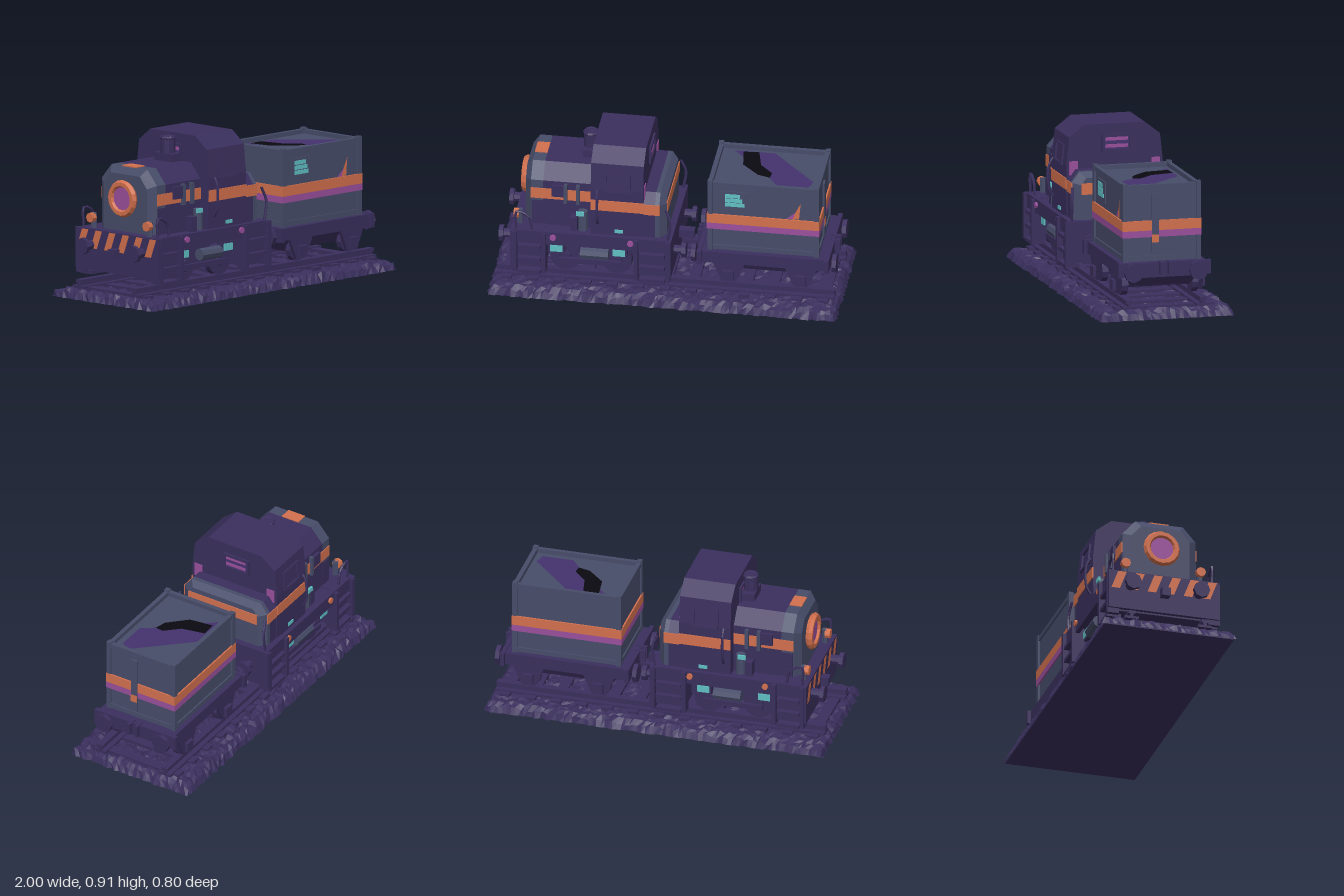
import * as THREE from 'three';

const mat = (name, color, side = THREE.FrontSide) => {
  const m = new THREE.MeshStandardMaterial({ color, side, flatShading: true });
  m.name = name;
  return m;
};

export function createModel() {
  const model = new THREE.Group();
  const dark = mat('dark violet paint', 0x3a2f5d);
  const slate = mat('slate paint', 0x474c69);
  const orange = mat('orange stripe', 0xd2704e);
  const magenta = mat('magenta stripe', 0x9a4f9c);
  const cyan = mat('cyan detail', 0x5fc0c4);
  const black = mat('black stain', 0x0b0a10);
  const violet = mat('violet stain', 0x44326e);

  let parent = model;
  const section = (name) => {
    parent = new THREE.Group();
    parent.name = name;
    model.add(parent);
  };
  const add = (name, geo, m, x = 0, y = 0, z = 0) => {
    const mesh = new THREE.Mesh(geo, m);
    mesh.name = name;
    mesh.position.set(x, y, z);
    parent.add(mesh);
    return mesh;
  };
  // box given by its limits
  const box = (name, m, x0, x1, y0, y1, z0, z1) =>
    add(name, new THREE.BoxGeometry(x1 - x0, y1 - y0, z1 - z0), m, (x0 + x1) / 2, (y0 + y1) / 2, (z0 + z1) / 2);
  // the same box on both sides of the centre line
  const pair = (name, m, x0, x1, y0, y1, z0, z1) => {
    box(name, m, x0, x1, y0, y1, z0, z1);
    box(name, m, x0, x1, y0, y1, -z1, -z0);
  };
  const cyl = (name, m, r, len, axis, x, y, z, sides = 8, r2 = r) => {
    const g = new THREE.CylinderGeometry(r2, r, len, sides);
    if (axis === 'x') g.rotateZ(-Math.PI / 2);
    if (axis === 'z') g.rotateX(Math.PI / 2);
    return add(name, g, m, x, y, z);
  };
  const tube = (name, m, pts, r = 0.008) =>
    add(name, new THREE.TubeGeometry(new THREE.CatmullRomCurve3(pts.map((p) => new THREE.Vector3(...p))), 10, r, 5), m);
  // flat plate: 'front' faces +z, 'top' faces +y, 'end' faces -x
  const plate = (name, m, pts, facing, x, y, z) => {
    const g = new THREE.ShapeGeometry(new THREE.Shape(pts.map((p) => new THREE.Vector2(...p))));
    if (facing === 'top') g.rotateX(-Math.PI / 2);
    if (facing === 'end') g.rotateY(-Math.PI / 2);
    return add(name, g, m, x, y, z);
  };
  // symmetric cross-section from half a profile of [z, y], bottom to top
  const sym = (half) => [...half.map(([z, y]) => [-z, y]), ...half.slice().reverse()];
  // skin through cross-sections placed along x
  const loft = (name, m, sections) => {
    const v = [];
    const p = (s, i) => [s[0], s[1][i][1], s[1][i][0]];
    const n = sections[0][1].length;
    for (let k = 0; k + 1 < sections.length; k++) {
      const a = sections[k], b = sections[k + 1];
      for (let i = 0; i < n; i++) {
        const j = (i + 1) % n;
        v.push(...p(a, i), ...p(a, j), ...p(b, j), ...p(a, i), ...p(b, j), ...p(b, i));
      }
    }
    const f = sections[0], l = sections[sections.length - 1];
    for (let i = 1; i + 1 < n; i++) {
      v.push(...p(l, 0), ...p(l, i), ...p(l, i + 1), ...p(f, 0), ...p(f, i + 1), ...p(f, i));
    }
    const g = new THREE.BufferGeometry();
    g.setAttribute('position', new THREE.Float32BufferAttribute(v, 3));
    g.computeVertexNormals();
    return add(name, g, m);
  };

  // ballast bed: jittered slab, rails and sleepers
  section('track');
  let seed = 7;
  const rnd = () => (seed = (seed * 16807) % 2147483647) / 2147483647;
  const bed = new THREE.PlaneGeometry(2, 0.8, 84, 34).rotateX(-Math.PI / 2);
  const pos = bed.attributes.position;
  for (let i = 0; i < pos.count; i++) {
    const x = pos.getX(i), z = pos.getZ(i);
    const d = Math.min(1 - Math.abs(x), 0.4 - Math.abs(z));
    if (d < 0.001) {
      const k = 1 - rnd() * 0.018;
      pos.setXYZ(i, Math.abs(x) > 0.999 ? x * k : x, 0, Math.abs(z) > 0.399 ? z * (1 - rnd() * 0.04) : z);
    } else {
      pos.setXYZ(i, x + (rnd() - 0.5) * 0.015, Math.min(0.052, 0.018 + d * 0.75) + (rnd() - 0.5) * 0.022, z + (rnd() - 0.5) * 0.015);
    }
  }
  add('ballast', bed.toNonIndexed(), dark);
  box('ballastBase', dark, -0.975, 0.975, 0, 0.012, -0.38, 0.38);
  for (let i = 0; i < 13; i++) box('sleeper', dark, -0.93 + i * 0.15, -0.87 + i * 0.15, 0.03, 0.068, -0.29, 0.29);
  pair('railFoot', dark, -0.96, 0.96, 0.06, 0.075, 0.175, 0.255);
  pair('railWeb', dark, -0.96, 0.96, 0.075, 0.09, 0.205, 0.225);
  pair('railHead', dark, -0.96, 0.96, 0.09, 0.11, 0.195, 0.235);

  // locomotive frame
  section('locomotiveFrame');
  box('innerFrame', dark, -0.84, 0.02, 0.17, 0.33, -0.17, 0.17);
  box('deck', dark, -0.86, 0.03, 0.345, 0.385, -0.3, 0.3);
  pair('sideBeam', dark, -0.86, 0.03, 0.31, 0.39, 0.285, 0.31);
  for (const [x0, x1] of [[-0.86, -0.67], [-0.17, 0.035]]) {
    box('endBlock', dark, x0 + 0.01, x1 - 0.01, 0.15, 0.39, -0.295, 0.295);
    for (const y of [0.12, 0.2, 0.28]) pair('step', dark, x0 + 0.03, x1 - 0.03, y, y + 0.02, 0.24, 0.325);
    for (const x of [x0, x1 - 0.025]) pair('stepPost', dark, x, x + 0.025, 0.13, 0.385, 0.26, 0.33);
  }
  box('frontBufferBeam', dark, -0.872, -0.85, 0.16, 0.39, -0.325, 0.325);
  box('rearBufferBeam', dark, 0.02, 0.042, 0.16, 0.39, -0.325, 0.325);
  for (let i = 0; i < 6; i++) {
    const z = -0.31 + i * 0.106;
    plate('hazardStripe', orange, [[z, 0.28], [z + 0.05, 0.28], [z + 0.09, 0.385], [z + 0.04, 0.385]], 'end', -0.875, 0, 0);
  }
  for (const s of [-1, 1]) {
    for (const x of [-0.57, -0.28]) {
      cyl('driveWheel', dark, 0.088, 0.04, 'z', x, 0.195, s * 0.21, 14);
      cyl('wheelHub', dark, 0.035, 0.03, 'z', x, 0.195, s * 0.24);
    }
    box('couplingRod', dark, -0.6, -0.25, 0.175, 0.205, s * 0.26 - 0.01, s * 0.26 + 0.01);
    cyl('airTank', slate, 0.035, 0.16, 'x', -0.4, 0.25, s * 0.265);
    for (const x of [-0.615, -0.26]) {
      box('springBox', dark, x - 0.045, x + 0.045, 0.24, 0.3, s * 0.255 - 0.02, s * 0.255 + 0.02);
      box('springPanel', cyan, x - 0.035, x + 0.035, 0.25, 0.29, s * 0.278 - 0.004, s * 0.278 + 0.004);
    }
    for (const x of [-0.63, -0.19]) cyl('markerLamp', s > 0 ? magenta : orange, 0.018, 0.012, 'z', x, 0.36, s * 0.316);
    cyl('frontBufferStem', dark, 0.027, 0.06, 'x', -0.9, 0.3, s * 0.2);
    cyl('frontBufferHead', dark, 0.048, 0.025, 'x', -0.938, 0.3, s * 0.2);
    cyl('rearBufferStem', dark, 0.025, 0.05, 'x', 0.065, 0.28, s * 0.2);
    cyl('rearBufferHead', dark, 0.045, 0.025, 'x', 0.1, 0.28, s * 0.2);
    cyl('frontLampPost', slate, 0.018, 0.09, 'y', -0.83, 0.43, s * 0.22, 6);
    cyl('frontLamp', orange, 0.028, 0.03, 'x', -0.85, 0.45, s * 0.22);
    tube('frontHandrail', dark, [[-0.84, 0.39, s * 0.29], [-0.84, 0.5, s * 0.29], [-0.77, 0.47, s * 0.29], [-0.75, 0.39, s * 0.29]]);
    tube('rearHandrail', dark, [[0.02, 0.39, s * 0.29], [0.035, 0.5, s * 0.29], [0.005, 0.58, s * 0.28]]);
  }
  box('rearCoupler', dark, 0.04, 0.13, 0.25, 0.3, -0.025, 0.025);
  box('frontCoupler', dark, -0.92, -0.86, 0.25, 0.3, -0.025, 0.025);

  // engine hood with chamfered nose, cab and rear hood
  section('locomotiveBody');
  const hood = sym([[0.215, 0.385], [0.215, 0.67], [0.14, 0.755]]);
  const nose = sym([[0.17, 0.39], [0.17, 0.65], [0.115, 0.715]]);
  loft('hood', dark, [[-0.7, hood], [-0.41, hood]]);
  loft('hoodNose', slate, [[-0.805, nose], [-0.77, hood], [-0.7, hood]]);
  box('hoodTopStripe', orange, -0.772, -0.7, 0.753, 0.76, -0.055, 0.055);
  pair('hoodStripe', orange, -0.77, -0.42, 0.555, 0.62, 0.213, 0.22);
  pair('noseLowerPanel', dark, -0.765, -0.7, 0.39, 0.54, 0.213, 0.219);
  cyl('headlight', magenta, 0.08, 0.03, 'x', -0.815, 0.58, 0, 16);
  add('headlightRing', new THREE.TorusGeometry(0.085, 0.022, 6, 16).rotateY(Math.PI / 2), orange, -0.825, 0.58, 0);
  for (const s of [-1, 1]) {
    box('hoodVent', dark, -0.65, -0.57, 0.58, 0.65, s * 0.222 - 0.012, s * 0.222 + 0.012);
    for (const x of [-0.57, -0.5]) box('hoodHinge', slate, x - 0.01, x + 0.01, 0.54, 0.66, s * 0.225 - 0.012, s * 0.225 + 0.012);
    cyl('hoodCylinder', slate, 0.028, 0.12, 'y', -0.47, 0.45, s * 0.245);
    box('valveBox', dark, -0.54, -0.5, 0.385, 0.47, s * 0.24 - 0.025, s * 0.24 + 0.025);
    box('valvePanel', cyan, -0.505, -0.46, 0.49, 0.515, s * 0.27 - 0.006, s * 0.27 + 0.006);
  }
  box('exhaustBox', dark, -0.5, -0.41, 0.7, 0.8, -0.07, 0.07);
  cyl('exhaustStack', dark, 0.042, 0.2, 'y', -0.46, 0.79, 0, 10);
  add('exhaustRim', new THREE.TorusGeometry(0.036, 0.01, 5, 10).rotateX(Math.PI / 2), dark, -0.46, 0.885, 0);

  const cab = sym([[0.28, 0.385], [0.282, 0.68], [0.265, 0.84], [0.175, 0.91]]);
  loft('cab', dark, [[-0.42, cab], [-0.12, cab]]);
  pair('cabStripe', orange, -0.42, -0.12, 0.545, 0.61, 0.279, 0.287);
  for (const s of [-1, 1]) {
    const w = new THREE.Group();
    w.name = 'cabSideWindow';
    w.position.set(-0.27, 0.73, s * 0.279);
    w.rotation.x = -s * 0.106;
    parent.add(w);
    const body = parent;
    parent = w;
    for (const d of [-1, 1]) {
      box('windowSide', dark, d * 0.07 - 0.008, d * 0.07 + 0.008, -0.058, 0.058, -0.008, 0.008);
      box('windowRail', dark, -0.07, 0.07, d * 0.052 - 0.007, d * 0.052 + 0.007, -0.008, 0.008);
    }
    parent = body;
    tube('cabHandrail', dark, [[-0.38, 0.46, s * 0.285], [-0.38, 0.5, s * 0.308], [-0.38, 0.64, s * 0.308], [-0.38, 0.68, s * 0.285]]);
    box('cabPanel', cyan, -0.285, -0.235, 0.405, 0.425, s * 0.282 - 0.004, s * 0.282 + 0.004);
    box('rearSideWindow', magenta, -0.122, -0.115, 0.625, 0.705, s * 0.24 - 0.025, s * 0.24 + 0.025);
  }
  // end windows of the cab
  for (const [x, d] of [[-0.12, 1], [-0.42, -1]]) {
    box('endWindowPane', violet, x - 0.004, x + 0.004, 0.765, 0.84, -0.085, 0.06);
    for (const y of [0.757, 0.842]) box('endWindowRail', dark, x - 0.012, x + 0.012, y - 0.008, y + 0.008, -0.1, 0.075);
    for (const z of [-0.092, 0.067]) box('endWindowPost', dark, x - 0.012, x + 0.012, 0.757, 0.842, z - 0.008, z + 0.008);
    for (const y of [0.785, 0.825]) box('endWindowGlint', magenta, x + d * 0.004 - 0.003, x + d * 0.004 + 0.003, y - 0.012, y + 0.007, -0.075, 0.055);
  }
  const rear = sym([[0.275, 0.385], [0.275, 0.6], [0.23, 0.66]]);
  const rearEnd = sym([[0.23, 0.39], [0.23, 0.59], [0.2, 0.63]]);
  loft('rearHood', dark, [[-0.13, rear], [-0.055, rear]]);
  loft('rearHoodEnd', slate, [[-0.055, rear], [-0.03, rear], [0.005, rearEnd]]);
  pair('rearHoodStripe', orange, -0.12, -0.028, 0.535, 0.6, 0.272, 0.28);
  box('rearEndStripe', orange, 0, 0.01, 0.535, 0.6, -0.228, 0.228);

  // wagon underframe and running gear
  section('wagonFrame');
  box('wagonDeck', dark, 0.19, 0.92, 0.24, 0.31, -0.25, 0.25);
  for (const x of [0.18, 0.905]) box('wagonEndBeam', dark, x, x + 0.025, 0.235, 0.315, -0.27, 0.27);
  loft('wagonBelly', dark, [[0.26, sym([[0.2, 0.22], [0.21, 0.24]])], [0.3, sym([[0.17, 0.17], [0.21, 0.24]])],
    [0.84, sym([[0.17, 0.17], [0.21, 0.24]])], [0.88, sym([[0.2, 0.22], [0.21, 0.24]])]]);
  for (const x of [0.36, 0.77]) {
    cyl('wagonAxle', dark, 0.02, 0.42, 'z', x, 0.17, 0);
    for (const s of [-1, 1]) {
      cyl('wagonWheel', dark, 0.065, 0.035, 'z', x, 0.172, s * 0.205, 12);
      const g = new THREE.ExtrudeGeometry(new THREE.Shape([[-0.09, 0.24], [-0.04, 0.125], [0.04, 0.125], [0.09, 0.24]].map((p) => new THREE.Vector2(...p))), { depth: 0.02, bevelEnabled: false });
      add('axleGuard', g, dark, x, 0, s * 0.24 - 0.01);
      box('axleBox', dark, x - 0.03, x + 0.03, 0.14, 0.2, s * 0.255 - 0.015, s * 0.255 + 0.015);
    }
  }
  for (const [x, d] of [[0.18, -1], [0.93, 1]]) {
    for (const s of [-1, 1]) cyl('wagonBuffer', dark, 0.055, 0.025, 'x', x + d * 0.025, 0.265, s * 0.19);
    for (const s of [-1, 1]) box('wagonHook', dark, x - 0.03, x + 0.03, 0.25, 0.32, s * 0.025 - 0.009, s * 0.025 + 0.009);
  }

  // wagon container with posts, rims, stripes and markings
  section('wagonBody');
  box('container', slate, 0.245, 0.86, 0.31, 0.725, -0.215, 0.215);
  for (const x of [0.235, 0.842]) pair('cornerPost', slate, x, x + 0.028, 0.31, 0.758, 0.2, 0.228);
  for (const y of [0.315, 0.722]) {
    pair('sideRim', slate, 0.25, 0.86, y, y + 0.028, 0.2, 0.224);
    for (const x of [0.237, 0.842]) box('endRim', slate, x, x + 0.026, y, y + 0.028, -0.21, 0.21);
  }
  for (const [name, m, y0, y1] of [['orangeBand', orange, 0.488, 0.545], ['magentaBand', magenta, 0.45, 0.488]]) {
    pair(name, m, 0.233, 0.872, y0, y1, 0.221, 0.23);
    for (const x of [0.231, 0.864]) box(name, m, x, x + 0.009, y0, y1, -0.229, 0.229);
  }
  box('endLatch', slate, 0.865, 0.877, 0.36, 0.7, 0.02, 0.06);
  box('endLatchMark', orange, 0.872, 0.879, 0.42, 0.465, 0.02, 0.06);
  box('labelFrame', slate, 0.31, 0.465, 0.57, 0.695, 0.212, 0.221);
  for (let i = 0; i < 3; i++) box('labelLine', cyan, 0.335, 0.445 - i * 0.012, 0.6 + i * 0.028, 0.623 + i * 0.028, 0.218, 0.225);
  plate('swoosh', orange, [[0.72, 0.545], [0.755, 0.545], [0.765, 0.65], [0.735, 0.59]], 'front', 0, 0, 0.217);
  plate('swooshTail', magenta, [[0.685, 0.545], [0.72, 0.545], [0.735, 0.59]], 'front', 0, 0, 0.217);
  plate('lidStain', violet, [[0.33, 0.18], [0.56, 0.18], [0.82, -0.1], [0.8, -0.165], [0.62, -0.165], [0.56, -0.08]], 'top', 0, 0.727, 0);
  plate('lidStreak', black, [[0.38, 0.17], [0.47, 0.175], [0.5, 0.04], [0.575, -0.04], [0.57, -0.09], [0.5, -0.07], [0.4, 0.03]], 'top', 0, 0.729, 0);
  return model;
}
